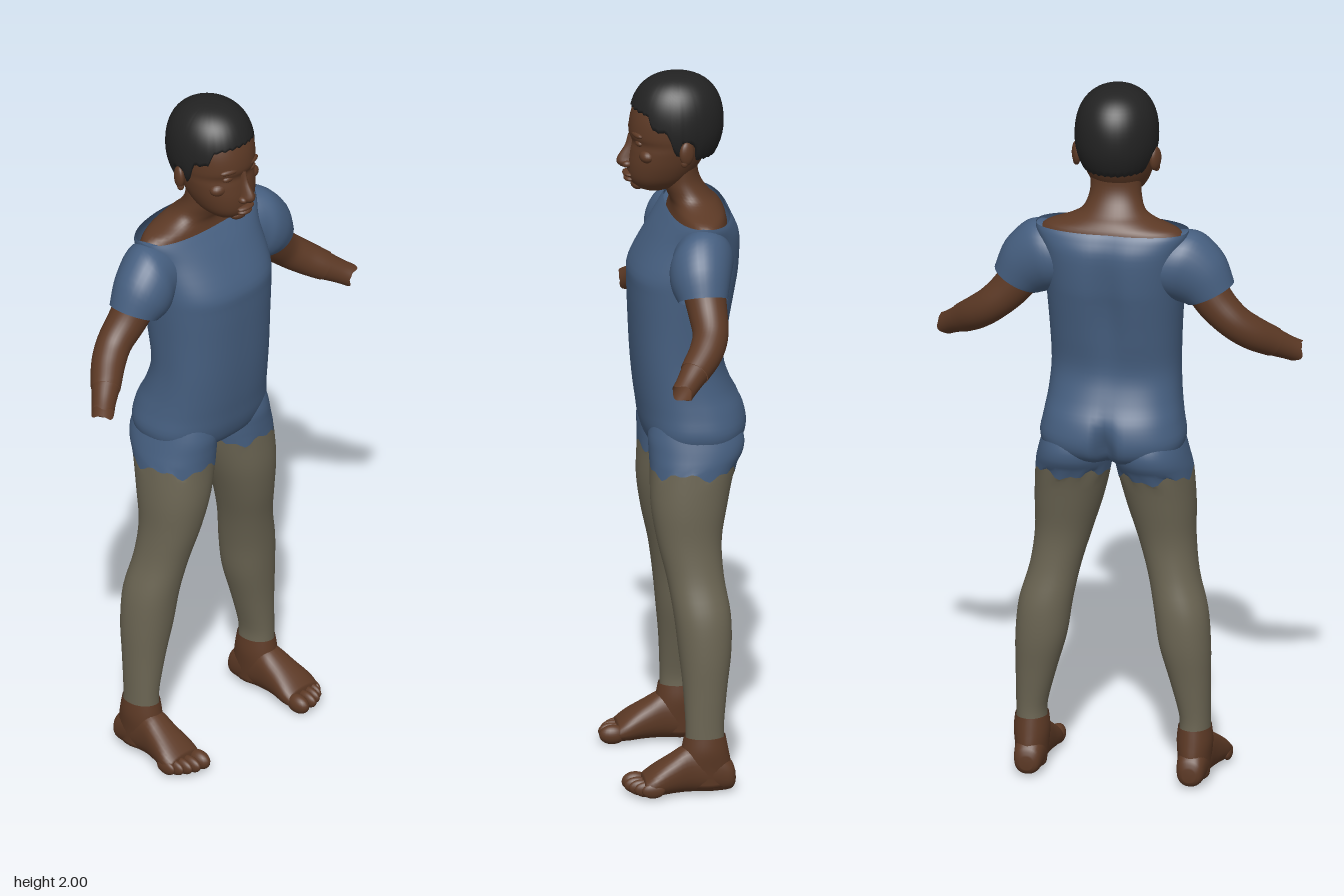
import * as THREE from 'three';

const V = (x, y, z) => new THREE.Vector3(x, y, z);
const mat = (name, color, side = THREE.FrontSide) => {
  const m = new THREE.MeshStandardMaterial({ color, side });
  m.name = name;
  return m;
};

// Catmull-Rom refinement of a short table of cross-sections
function refine(rows, k = 4) {
  const out = [];
  for (let i = 0; i < rows.length - 1; i++) {
    const [a, b, c, d] = [rows[Math.max(i - 1, 0)], rows[i], rows[i + 1], rows[Math.min(i + 2, rows.length - 1)]];
    for (let s = 0; s < k; s++) {
      const t = s / k;
      out.push(b.map((q, j) => {
        const quad = 2 * a[j] - 5 * q + 4 * c[j] - d[j];
        const cubic = 3 * q - a[j] - 3 * c[j] + d[j];
        return 0.5 * (2 * q + (c[j] - a[j]) * t + quad * t * t + cubic * t * t * t);
      }));
    }
  }
  out.push(rows[rows.length - 1]);
  return out;
}

// Skin a list of rings {c, u, v}; e is the superellipse power, warp moves points
function loft(rings, { n = 32, e = 2, start = false, end = false, warp = null } = {}) {
  const pos = [], idx = [], last = rings.length - 1;
  const pw = (q) => Math.sign(q) * Math.pow(Math.abs(q), 2 / e);
  rings.forEach((r, j) => {
    for (let i = 0; i < n; i++) {
      const a = (i / n) * Math.PI * 2;
      const p = r.c.clone().addScaledVector(r.u, pw(Math.cos(a))).addScaledVector(r.v, pw(Math.sin(a)));
      if (warp) warp(p, a, j, last);
      pos.push(p.x, p.y, p.z);
    }
  });
  const half = Math.floor(last / 2);
  const along = rings[half + 1].c.clone().sub(rings[half].c);
  const flip = rings[half].u.clone().cross(rings[half].v).dot(along) < 0;
  const tri = (a, b, c) => (flip ? idx.push(a, c, b) : idx.push(a, b, c));
  for (let j = 0; j < last; j++) for (let i = 0; i < n; i++) {
    const k = (i + 1) % n, a = j * n + i, b = j * n + k;
    tri(a, b, b + n);
    tri(a, b + n, a + n);
  }
  for (const [on, j] of [[start, 0], [end, last]]) {
    if (!on) continue;
    const c = rings[j].c, m = pos.length / 3;
    pos.push(c.x, c.y, c.z);
    for (let i = 0; i < n; i++) {
      const a = j * n + i, b = j * n + (i + 1) % n;
      if (j === 0) tri(m, b, a);
      else tri(m, a, b);
    }
  }
  const g = new THREE.BufferGeometry();
  g.setAttribute('position', new THREE.Float32BufferAttribute(pos, 3));
  g.setIndex(idx);
  g.computeVertexNormals();
  return g;
}

// Level ring from [y, xMin, xMax, zFront, zBack]
const level = (s, [y, x0, x1, zf, zb]) => ({
  c: V(s * (x0 + x1) / 2, y, (zf + zb) / 2), u: V(s * (x1 - x0) / 2, 0, 0), v: V(0, 0, (zf - zb) / 2),
});
// Centred level ring from [y, halfWidth, zFront, zBack]
const mid = ([y, w, zf, zb]) => level(1, [y, -w, w, zf, zb]);

export function createModel() {
  const skin = mat('skin', 0x5c3925, THREE.DoubleSide);
  const shirt = mat('blue suit', 0x465f80, THREE.DoubleSide);
  const hose = mat('grey leggings', 0x6b6553, THREE.DoubleSide);
  const hairMat = mat('black hair', 0x222222, THREE.DoubleSide);
  const model = new THREE.Group();
  model.name = 'figure';
  const add = (name, geo, m, parent = model) => {
    const o = new THREE.Mesh(geo, m);
    o.name = name;
    parent.add(o);
    return o;
  };
  const blob = (name, m, p, r, parent) => {
    const o = add(name, new THREE.SphereGeometry(1, 20, 14), m, parent);
    o.position.set(...p);
    o.scale.set(...r);
    return o;
  };

  // Torso with a spine groove and a seat cleft
  const torso = refine([
    [0.925, 0.06, 0.02, -0.08], [0.955, 0.17, 0.078, -0.16], [1.0, 0.2, 0.1, -0.186], [1.06, 0.192, 0.11, -0.178],
    [1.12, 0.183, 0.118, -0.148], [1.2, 0.178, 0.125, -0.125], [1.3, 0.181, 0.13, -0.14], [1.4, 0.187, 0.133, -0.158],
    [1.46, 0.19, 0.128, -0.167], [1.55, 0.195, 0.075, -0.168], [1.595, 0.21, 0.042, -0.152], [1.614, 0.212, 0.026, -0.14],
  ]);
  const bell = (q, centre, width) => Math.exp(-Math.pow((q - centre) / width, 2));
  add('torso', loft(torso.map(mid), {
    n: 80, e: 2.4, start: true,
    warp: (p) => {
      if (p.z > -0.04) return;
      const cleft = 0.05 * bell(p.y, 0.985, 0.065) * bell(p.x, 0, 0.022);
      const spine = 0.02 * bell(p.y, 1.4, 0.17) * bell(p.x, 0, 0.04);
      p.z += cleft + spine;
    },
  }), shirt);

  // Shoulders and neck
  add('neck', loft(refine([
    [1.59, 0.206, 0.022, -0.134], [1.615, 0.185, 0.016, -0.128], [1.635, 0.125, 0.016, -0.115], [1.655, 0.088, 0.024, -0.095],
    [1.69, 0.073, 0.036, -0.07], [1.73, 0.07, 0.036, -0.058], [1.79, 0.07, 0.03, -0.06],
  ]).map(mid), { n: 40 }), skin);

  // Head
  const head = new THREE.Group();
  head.name = 'head';
  model.add(head);
  add('face', loft(refine([
    [1.672, 0.028, 0.09, 0.03], [1.684, 0.05, 0.115, 0.0], [1.71, 0.074, 0.132, -0.035], [1.75, 0.091, 0.135, -0.065],
    [1.79, 0.1, 0.129, -0.085], [1.815, 0.103, 0.124, -0.1], [1.84, 0.106, 0.131, -0.11], [1.89, 0.105, 0.124, -0.112],
    [1.94, 0.088, 0.1, -0.095], [1.98, 0.04, 0.045, -0.045],
  ]).map(mid), { n: 48, e: 2.15, start: true, end: true }), skin, head);
  add('nose', loft(refine([
    [1.832, 0.008, 0.133, 0.1], [1.8, 0.01, 0.142, 0.1], [1.768, 0.015, 0.162, 0.1], [1.752, 0.019, 0.165, 0.1],
    [1.74, 0.015, 0.155, 0.1],
  ]).map(mid), { n: 20, end: true }), skin, head);
  blob('upperLip', skin, [0, 1.719, 0.133], [0.03, 0.008, 0.016], head);
  blob('lowerLip', skin, [0, 1.705, 0.13], [0.025, 0.009, 0.016], head);
  blob('chin', skin, [0, 1.688, 0.108], [0.03, 0.016, 0.018], head);
  for (const s of [1, -1]) {
    blob('nostril', skin, [s * 0.017, 1.749, 0.138], [0.011, 0.01, 0.014], head);
    blob('eyelid', skin, [s * 0.043, 1.818, 0.108], [0.02, 0.01, 0.012], head);
    blob('brow', skin, [s * 0.043, 1.842, 0.115], [0.03, 0.009, 0.011], head).rotation.y = s * 0.25;
    blob('cheekbone', skin, [s * 0.06, 1.785, 0.09], [0.03, 0.02, 0.022], head);
    blob('ear', skin, [s * 0.11, 1.802, -0.012], [0.013, 0.034, 0.022], head).rotation.y = s * 0.4;
    blob('earlobe', skin, [s * 0.112, 1.775, -0.005], [0.009, 0.012, 0.01], head);
  }

  // Hair cap whose lower edge follows a hairline from the nape to the forehead
  const hairline = [[-1, 1.775], [-0.4, 1.775], [-0.3, 1.825], [0, 1.83], [0.05, 1.79], [0.18, 1.8], [0.3, 1.86],
    [0.6, 1.865], [0.72, 1.905], [1, 1.912]];
  const edgeAt = (f) => {
    const i = Math.max(1, hairline.findIndex((q) => q[0] >= f - 1e-6));
    const [a, b] = [hairline[i - 1], hairline[i]];
    return a[1] + (b[1] - a[1]) * (f - a[0]) / (b[0] - a[0]);
  };
  const capRows = Array.from({ length: 22 }, (_, j) => ({ c: V(0, j, 0), u: V(1, 0, 0), v: V(0, 0, 1) }));
  add('hair', loft(capRows, {
    n: 96,
    warp: (p, a, j, last) => {
      const edge = edgeAt(Math.sin(a)) + 0.003 * Math.sin(a * 32 + 1);
      const t = Math.max(0, j - 1) / (last - 1);
      const y = edge + (2 - edge) * Math.sin(t * Math.PI / 2);
      const h = (y - 1.86) / 0.14;
      let w = h > 0 ? Math.pow(Math.max(0, 1 - Math.pow(h, 2.4)), 1 / 2.4) : 1 - Math.pow((1.86 - y) / 0.2, 2);
      if (j === 0) w *= 0.88;
      p.set(p.x * 0.115 * w, y, p.z * 0.13 * w);
    },
  }), hairMat, head);

  for (const s of [1, -1]) {
    const side = s > 0 ? 'left' : 'right';

    // Sleeve: rings from [topX, topY, bottomX, bottomY, z, halfDepth]
    const sleeve = refine([
      [0.13, 1.595, 0.13, 1.43, -0.05, 0.08], [0.2, 1.61, 0.16, 1.415, -0.045, 0.085], [0.25, 1.595, 0.178, 1.405, -0.035, 0.087],
      [0.305, 1.535, 0.19, 1.4, -0.03, 0.08], [0.333, 1.462, 0.205, 1.397, -0.032, 0.068],
    ]).map(([tx, ty, bx, by, z, d]) => ({
      c: V(s * (tx + bx) / 2, (ty + by) / 2, z), u: V(s * (tx - bx) / 2, (ty - by) / 2, 0), v: V(0, 0, d),
    }));
    add(side + 'Sleeve', loft(sleeve, { start: true }), shirt);

    // Bare arm and open wrist: rings across a path of [x, y, z, radius]
    const path = refine([
      [0.24, 1.47, -0.035, 0.06], [0.285, 1.405, -0.042, 0.054], [0.335, 1.355, -0.042, 0.049], [0.38, 1.318, -0.022, 0.047],
      [0.425, 1.285, 0.012, 0.042], [0.465, 1.258, 0.042, 0.035], [0.488, 1.243, 0.06, 0.033],
    ], 5);
    const armRings = path.map((q, i) => {
      const a = path[Math.max(i - 1, 0)], b = path[Math.min(i + 1, path.length - 1)];
      const t = V(s * (b[0] - a[0]), b[1] - a[1], b[2] - a[2]).normalize();
      const u = V(0, 0, 1).cross(t).normalize(), v = t.clone().cross(u);
      return { c: V(s * q[0], q[1], q[2]), u: u.multiplyScalar(q[3]), v: v.multiplyScalar(q[3]) };
    });
    add(side + 'Arm', loft(armRings.slice(0, 22)), skin);
    const wrist = armRings.slice(21).map((r) => ({ c: r.c, u: r.u.clone().multiplyScalar(0.95), v: r.v.clone().multiplyScalar(0.95) }));
    add(side + 'Wrist', loft(wrist, {
      warp: (p, a, j, last) => {
        if (j === last) p.addScaledVector(V(s * 0.66, -0.43, 0.5), 0.009 * Math.sin(3 * a));
      },
    }), skin);

    // Leg: blue above the ragged hem, grey below it
    const leg = refine([
      [1.08, 0.03, 0.17, 0.07, -0.12], [1.0, 0.008, 0.194, 0.092, -0.165], [0.95, 0.005, 0.208, 0.092, -0.168],
      [0.9, 0.011, 0.218, 0.09, -0.143], [0.8, 0.035, 0.223, 0.09, -0.12], [0.7, 0.066, 0.223, 0.075, -0.102],
      [0.6, 0.095, 0.235, 0.052, -0.105], [0.5, 0.115, 0.262, 0.036, -0.12], [0.4, 0.13, 0.271, 0.025, -0.12],
      [0.3, 0.158, 0.271, 0.015, -0.107], [0.2, 0.184, 0.27, 0.01, -0.096], [0.155, 0.186, 0.27, 0.01, -0.096],
    ]).map((r) => level(s, r));
    const rag = (a) => 0.009 * Math.sin(5 * a) + 0.007 * Math.sin(11 * a + 1);
    add(side + 'ShortsLeg', loft(leg.slice(0, 13), {
      n: 48, e: 2.15, warp: (p, a, j, last) => { if (j === last) p.y += rag(a); },
    }), shirt);
    add(side + 'Legging', loft(leg.slice(12), {
      n: 48, e: 2.15, warp: (p, a, j) => { if (j === 0) p.y += rag(a); },
    }), hose);

    // Foot: ankle, instep and five toes
    const foot = new THREE.Group();
    foot.name = side + 'Foot';
    model.add(foot);
    add('ankle', loft(refine([
      [0.162, 0.182, 0.273, 0.014, -0.1], [0.12, 0.178, 0.277, 0.022, -0.108], [0.07, 0.182, 0.272, 0.03, -0.116],
      [0.02, 0.187, 0.268, 0.01, -0.11],
    ]).map((r) => level(s, r)), { end: true }), skin, foot);
    const instep = refine([
      [-0.126, 0.227, 0.018, 0.06, 0.022], [-0.112, 0.227, 0.036, 0.09, 0.006], [-0.06, 0.227, 0.043, 0.125, 0.001],
      [0, 0.229, 0.046, 0.138, 0.004], [0.05, 0.233, 0.053, 0.112, 0.004], [0.1, 0.236, 0.062, 0.08, 0.001],
      [0.13, 0.235, 0.058, 0.055, 0.004],
    ]).map(([z, x, w, top, low]) => ({ c: V(s * x, (top + low) / 2, z), u: V(s * w, 0, 0), v: V(0, (top - low) / 2, 0) }));
    add('instep', loft(instep, { e: 2.3, start: true, end: true }), skin, foot);
    const toes = [[0.196, 0.145, 0.022, 0.037], [0.229, 0.144, 0.015, 0.036], [0.252, 0.136, 0.014, 0.035],
      [0.272, 0.124, 0.013, 0.034], [0.288, 0.108, 0.012, 0.032]];
    for (const [x, z, r, len] of toes) {
      blob('toe', skin, [s * x, 0.028, z], [r, r * 0.6 + 0.014, len], foot);
    }
  }
  return model;
}
